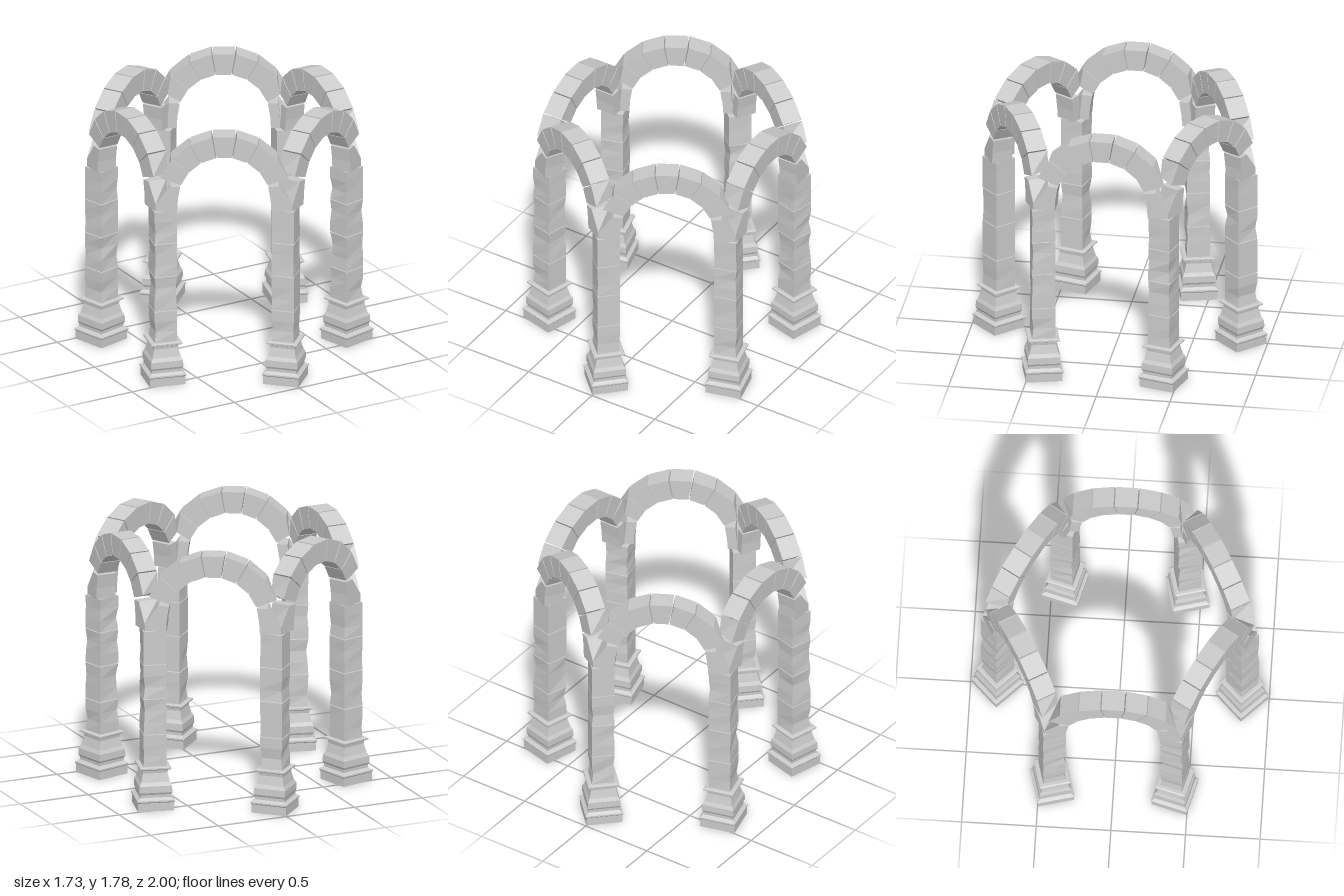
import * as THREE from 'three';

const SIDES = 6, STEP = Math.PI / 3;
const PILLAR_R = 0.82;             // pillar axis distance from the centre
const ARCH_IN = 0.655, ARCH_T = 0.14;
const SPRING_Y = 1.33, R_IN = 0.31, R_OUT = 0.46;

const stone = new THREE.MeshStandardMaterial({ color: 0xcccccc, flatShading: true, side: THREE.DoubleSide });

function seeded(seed) {
  let s = seed;
  return () => (s = (s * 16807) % 2147483647) / 2147483647;
}

function add(parent, name, geometry, y = 0) {
  const mesh = new THREE.Mesh(geometry, stone);
  mesh.name = name;
  mesh.position.y = y;
  parent.add(mesh);
  return mesh;
}

// Square block set cornerwise, with its upright edges slightly worn
function shaftBlock(height, rnd) {
  const g = new THREE.CylinderGeometry(0.11, 0.11, height, 4, 3);
  const p = g.attributes.position;
  const wear = Array.from({ length: 8 }, () => (rnd() < 0.4 ? 1 - 0.16 * rnd() : 1));
  for (let i = 0; i < p.count; i++) {
    const y = p.getY(i);
    if (Math.abs(y) > height * 0.4) continue;
    const corner = (Math.round(Math.atan2(p.getX(i), p.getZ(i)) / (Math.PI / 2)) + 4) % 4;
    const k = wear[corner + (y > 0 ? 4 : 0)];
    p.setXYZ(i, p.getX(i) * k, y, p.getZ(i) * k);
  }
  g.computeVertexNormals();
  return g;
}

// Stone of the arch: outline in the arch plane, mitred against the next side
function archStone(points) {
  const shape = new THREE.Shape(points.map(([x, y]) => new THREE.Vector2(x, y)));
  const g = new THREE.ExtrudeGeometry(shape, { depth: ARCH_T, bevelEnabled: false });
  g.translate(0, 0, ARCH_IN);
  const p = g.attributes.position;
  for (let i = 0; i < p.count; i++) {
    const limit = p.getZ(i) * Math.tan(Math.PI / 6) - 0.001;
    p.setX(i, THREE.MathUtils.clamp(p.getX(i), -limit, limit));
  }
  g.computeVertexNormals();
  return g;
}

function createPillar(index) {
  const pillar = new THREE.Group();
  pillar.name = 'pillar';
  const rnd = seeded(101 + index * 977);
  // Plinth, swelling base and collar as one square turned profile
  const profile = [
    [0, 0], [0.173, 0], [0.173, 0.058], [0.18, 0.064], [0.18, 0.074], [0.165, 0.08],
    [0.148, 0.09], [0.148, 0.11], [0.158, 0.125], [0.156, 0.17], [0.138, 0.195],
    [0.118, 0.255], [0.122, 0.275], [0.15, 0.285], [0.15, 0.295], [0.135, 0.3], [0, 0.3],
  ].map(([r, y]) => new THREE.Vector2(r, y));
  add(pillar, 'pillarBase', new THREE.LatheGeometry(profile, 4));
  // Shaft courses with fine joints
  const courses = [0.3, 0.525, 0.775, 1.013, 1.25];
  for (let i = 0; i < 4; i++) {
    const h = courses[i + 1] - courses[i] - 0.006;
    add(pillar, 'shaftBlock', shaftBlock(h, rnd), courses[i] + h / 2);
  }
  pillar.position.set(Math.sin(index * STEP) * PILLAR_R, 0, Math.cos(index * STEP) * PILLAR_R);
  pillar.rotation.y = index * STEP;
  return pillar;
}

function createArch(index) {
  const arch = new THREE.Group();
  arch.name = 'arch';
  const at = (r, deg) => {
    const a = THREE.MathUtils.degToRad(deg);
    return [Math.sin(a) * r, SPRING_Y + Math.cos(a) * r];
  };
  // Seven wedge stones
  for (let i = -3; i <= 3; i++) {
    const a = i * 20 - 9.5, b = i * 20 + 9.5;
    add(arch, i === 0 ? 'keystone' : 'wedgeStone',
      archStone([at(R_IN, a), at(R_IN, b), at(R_OUT, b), at(R_OUT, a)]));
  }
  // Springers that fork from each pillar top
  for (const s of [1, -1]) {
    const outline = [[0.315, 1.25], [0.47, 1.25], [0.47, 1.3], [0.365, 1.43], [0.295, 1.425], [0.31, 1.33]];
    add(arch, 'springer', archStone(outline.map(([x, y]) => [s * x, y])));
  }
  arch.rotation.y = (index + 0.5) * STEP;
  return arch;
}

export function createModel() {
  const model = new THREE.Group();
  model.name = 'hexagonalArcade';
  for (let i = 0; i < SIDES; i++) model.add(createPillar(i), createArch(i));
  return model;
}
